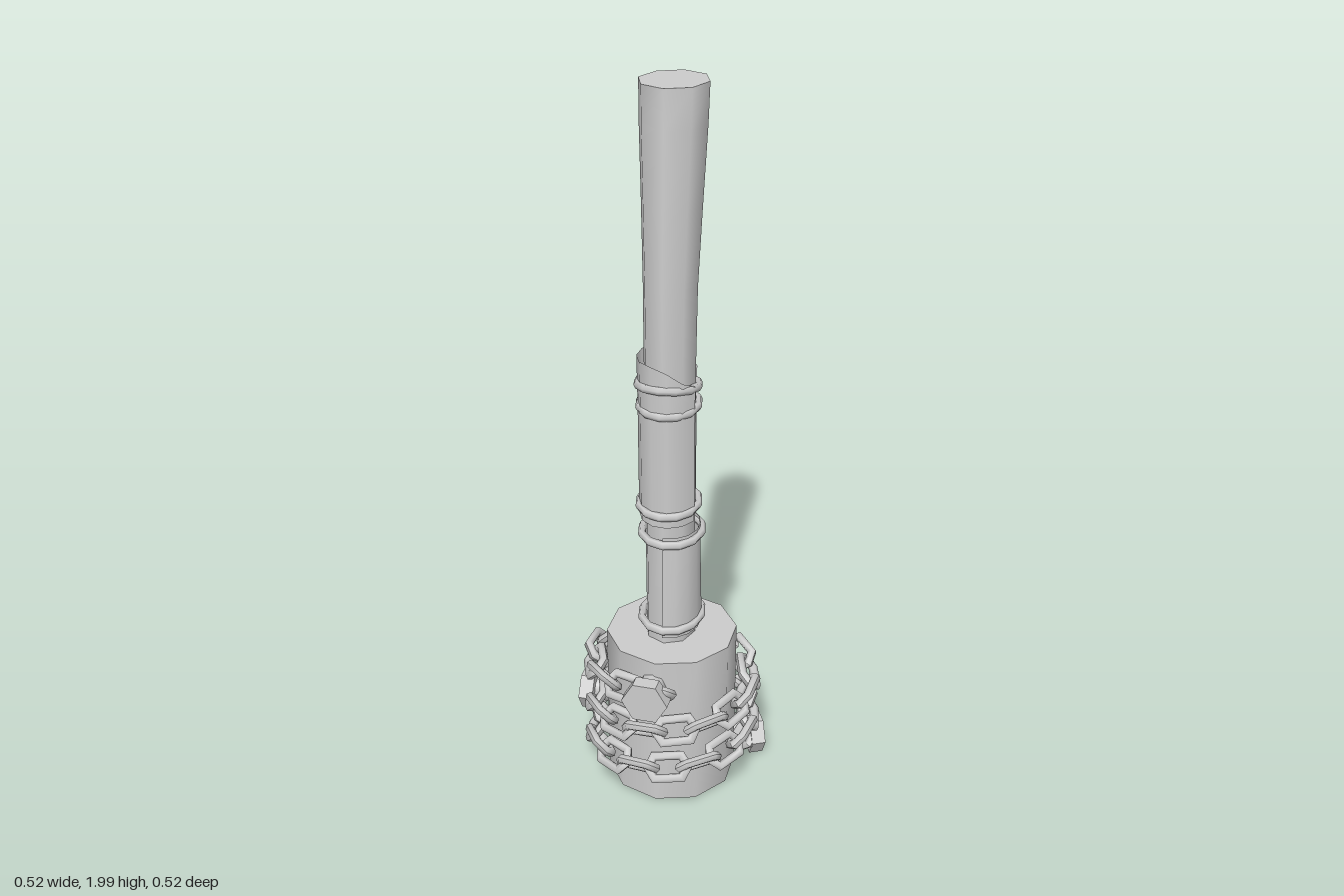
import * as THREE from 'three';
import { toCreasedNormals } from 'three/addons/utils/BufferGeometryUtils.js';

const AXIS_Z = -0.01;

export function createModel() {
  const model = new THREE.Group();
  model.name = 'chainWrappedHammer';
  const grey = new THREE.MeshStandardMaterial({ color: 0xcccccc });
  const cloth = new THREE.MeshStandardMaterial({ color: 0xcccccc, side: THREE.DoubleSide });

  const add = (name, geometry, parent = model, material = grey) => {
    const mesh = new THREE.Mesh(geometry, material);
    mesh.name = name;
    parent.add(mesh);
    return mesh;
  };

  // Oval tube through rows of [y, centreX, centreZ, radiusX, radiusZ], top row first
  const loft = (rows, sides, open = false, start = 0, sweep = Math.PI * 2, lift = () => 0) => {
    const n = rows.length - 1;
    const geo = new THREE.CylinderGeometry(1, 1, 1, sides, n, open, start, sweep);
    const pos = geo.attributes.position;
    for (let i = 0; i < pos.count; i++) {
      const r = Math.round((0.5 - pos.getY(i)) * n);
      const [y, cx, cz, rx, rz] = rows[r];
      const x = pos.getX(i), z = pos.getZ(i);
      pos.setXYZ(i, cx + x * rx, y + (r === 0 ? lift(x, z) : 0), cz + z * rz);
    }
    return toCreasedNormals(geo, 0.9);
  };

  // Head
  const head = add('head', toCreasedNormals(new THREE.CylinderGeometry(0.182, 0.182, 0.465, 10), 0.9));
  head.position.set(0, 0.2425, AXIS_Z);

  // Bent handle, flaring to the top
  add('handle', loft([
    [2.0, -0.003, -0.042, 0.088, 0.098],
    [1.9, -0.003, -0.035, 0.086, 0.095],
    [1.7, -0.003, -0.02, 0.078, 0.088],
    [1.5, -0.003, -0.005, 0.071, 0.08],
    [1.3, -0.003, 0, 0.069, 0.077],
    [0.9, -0.003, -0.003, 0.069, 0.077],
    [0.46, -0.003, -0.01, 0.069, 0.08],
  ], 8));

  // Wraps, each open along one side
  const deg = Math.PI / 180;
  add('upperWrap', loft([
    [1.31, -0.005, 0, 0.083, 0.09],
    [1.17, -0.005, 0, 0.081, 0.09],
    [0.9, -0.005, -0.003, 0.081, 0.09],
    [0.85, -0.005, -0.003, 0.08, 0.09],
  ], 10, true, 135 * deg, 295 * deg, x => -0.07 * Math.max(0, x)), model, cloth);
  add('lowerWrap', loft([
    [0.82, 0, -0.003, 0.079, 0.09],
    [0.7, 0, -0.003, 0.08, 0.092],
    [0.51, 0, -0.006, 0.083, 0.103],
  ], 9, true, 0, 225 * deg, x => -0.01 * Math.max(0, -x)), model, cloth);

  // Binding rings: [y, centreX, radiusX, radiusZ, tilt]
  [
    [1.23, -0.008, 0.08, 0.094, -0.2],
    [1.175, -0.006, 0.078, 0.09, 0],
    [0.885, -0.006, 0.08, 0.094, 0],
    [0.8, 0.002, 0.082, 0.094, 0],
    [0.535, 0.002, 0.083, 0.102, 0],
  ].forEach(([y, cx, rx, rz, tilt], i) => {
    const geo = new THREE.TorusGeometry(1, 0.13, 6, 12);
    geo.rotateX(Math.PI / 2);
    geo.scale(rx, 0.092, rz);
    const ring = add(`bindingRing${i + 1}`, geo);
    ring.position.set(cx, y, -0.003);
    ring.rotation.x = tilt;
  });

  // Chain spiralling down around the head, links tilted alternately
  const chain = new THREE.Group();
  chain.name = 'chain';
  model.add(chain);
  const linkGeo = new THREE.TorusGeometry(0.035, 0.0135, 6, 6);
  const lp = linkGeo.attributes.position;
  for (let i = 0; i < lp.count; i++) lp.setX(i, lp.getX(i) + Math.sign(lp.getX(i)) * 0.021);
  linkGeo.computeVertexNormals();

  const turns = 2.667, links = 42, radius = 0.217;
  const up = new THREE.Vector3(0, 1, 0);
  for (let i = 0; i <= links; i++) {
    const t = i / links, a = t * turns * Math.PI * 2;
    const out = new THREE.Vector3(-Math.sin(a), 0, Math.cos(a));
    const along = new THREE.Vector3(-Math.cos(a), -0.093, -Math.sin(a)).normalize();
    const across = new THREE.Vector3().crossVectors(out, along);
    const link = add(`chainLink${i + 1}`, linkGeo, chain);
    link.quaternion.setFromRotationMatrix(new THREE.Matrix4().makeBasis(along, across, out));
    link.rotateX((i % 2 ? 1 : -1) * 0.72);
    link.position.copy(out).multiplyScalar(radius).addScaledVector(up, 0.4 - 0.335 * t);
    link.position.z += AXIS_Z - 0.005;
  }

  // Hex bolts pinning the chain: [x, z, y, heading] at the outer face
  [
    [-0.008, 0.255, 0.4, 0],
    [-0.26, -0.004, 0.235, -Math.PI / 2],
    [0.235, -0.143, 0.066, 117 * deg],
  ].forEach(([x, z, y, heading], i) => {
    const bolt = new THREE.Group();
    bolt.name = `bolt${i + 1}`;
    bolt.position.set(x, y, z);
    bolt.rotation.y = heading;
    model.add(bolt);
    const hex = new THREE.CylinderGeometry(0.064, 0.064, 0.04, 6, 1, false, Math.PI / 2);
    hex.rotateX(Math.PI / 2);
    add('boltHead', toCreasedNormals(hex, 0.5), bolt).position.z = -0.02;
    const shank = new THREE.CylinderGeometry(0.036, 0.036, 0.09, 8);
    shank.rotateX(Math.PI / 2);
    add('boltShank', toCreasedNormals(shank, 0.9), bolt).position.z = -0.085;
  });

  return model;
}
